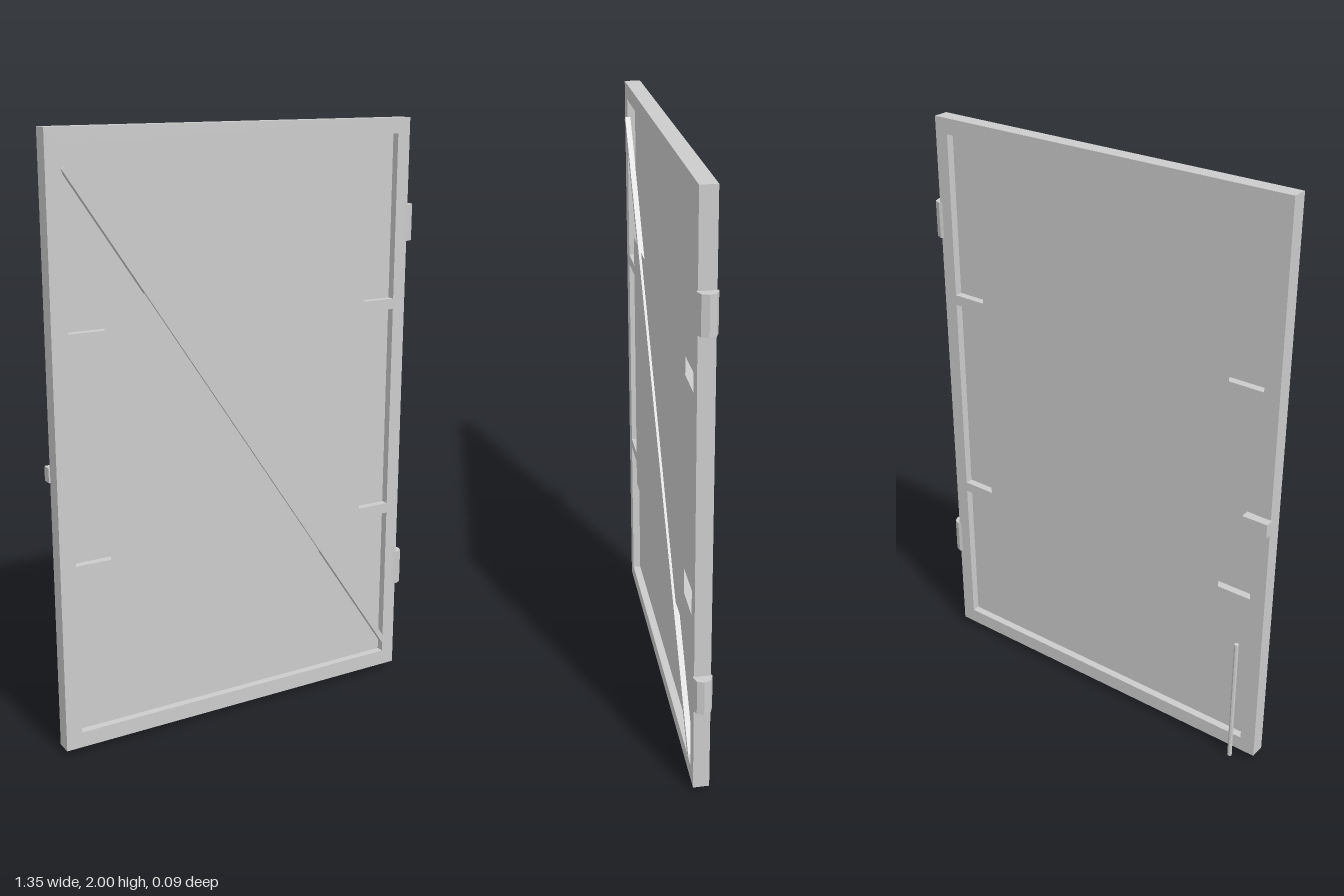
import * as THREE from 'three';

const FRONT = 0.037, BACK = -0.016, MID = (FRONT + BACK) / 2;

export function createModel() {
  const gate = new THREE.Group();
  gate.name = 'gate';
  const grey = new THREE.MeshStandardMaterial({ color: 0xcccccc, flatShading: true });
  const sheet = new THREE.MeshStandardMaterial({ color: 0xcccccc, side: THREE.DoubleSide });

  const add = (name, geometry, x, y, z, material = grey) => {
    const mesh = new THREE.Mesh(geometry, material);
    mesh.name = name;
    mesh.position.set(x, y, z);
    gate.add(mesh);
    return mesh;
  };
  // Box given by its limits on each axis
  const box = (name, x0, x1, y0, y1, z0, z1) =>
    add(name, new THREE.BoxGeometry(x1 - x0, y1 - y0, z1 - z0), (x0 + x1) / 2, (y0 + y1) / 2, (z0 + z1) / 2);
  // Upright sheet facing front and back
  const panel = (name, x0, x1, y0, y1, z) =>
    add(name, new THREE.PlaneGeometry(x1 - x0, y1 - y0), (x0 + x1) / 2, (y0 + y1) / 2, z, sheet);
  const trace = (path, x0, x1, y0, y1) =>
    path.moveTo(x0, y0).lineTo(x1, y0).lineTo(x1, y1).lineTo(x0, y1).closePath();

  // Outer frame of square tube
  const outline = new THREE.Shape();
  trace(outline, -0.672, 0.643, 0.021, 2);
  const opening = new THREE.Path();
  trace(opening, -0.618, 0.595, 0.074, 1.948);
  outline.holes.push(opening);
  add('frame', new THREE.ExtrudeGeometry(outline, { depth: FRONT - BACK, bevelEnabled: false }), 0, 0, BACK);

  // Infill in the middle of the frame, with two cross rails
  panel('infill', -0.618, 0.595, 0.074, 1.948, MID);
  for (const y of [0.633, 1.375])
    box('crossRail', -0.618, 0.595, y - 0.018, y + 0.018, BACK, FRONT);

  // Central cover sheets, front and back
  for (const z of [BACK - 0.0005, FRONT + 0.0005])
    panel('coverSheet', -0.498, 0.472, 0.524, 1.494, z);

  // Diagonal brace on the front
  const from = new THREE.Vector2(-0.617, 1.885), to = new THREE.Vector2(0.594, 0.118);
  const span = to.clone().sub(from);
  const brace = add('diagonalBrace', new THREE.BoxGeometry(span.length(), 0.018, 0.018),
    (from.x + to.x) / 2, (from.y + to.y) / 2, 0.037);
  brace.rotation.z = span.angle();

  // Eight-sided hinge barrels on the left edge
  for (const y of [0.395, 1.65])
    add('hinge', new THREE.CylinderGeometry(0.031, 0.031, 0.123, 8), 0.645, y, MID);

  // Latch and drop bolt on the back
  box('latch', -0.677, -0.587, 0.922, 0.97, -0.046, -0.014);
  add('dropBolt', new THREE.CylinderGeometry(0.008, 0.008, 0.473, 8), -0.592, 0.2365, -0.038);

  return gate;
}
